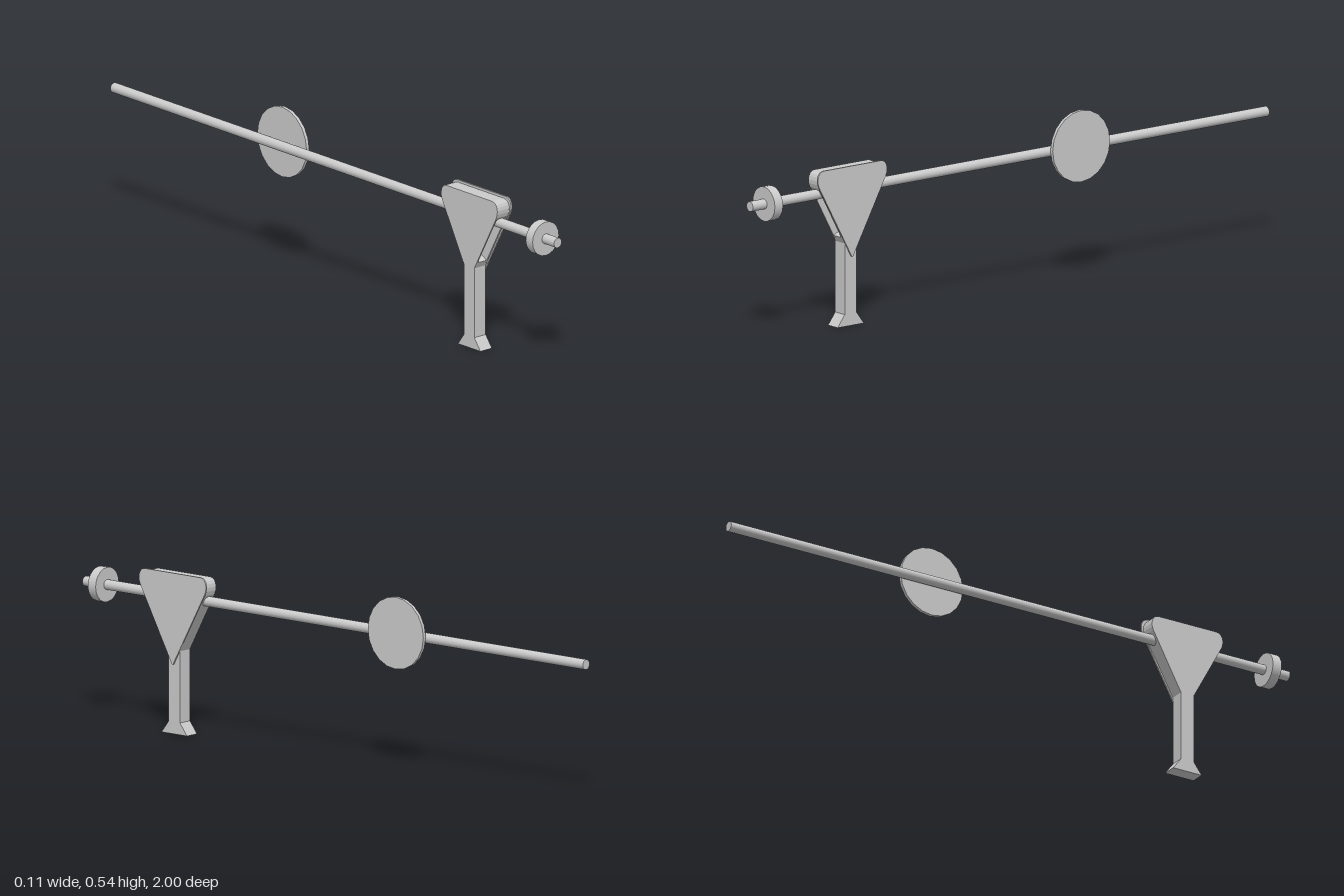
import * as THREE from 'three';

const material = new THREE.MeshStandardMaterial({ color: 0xcccccc });
const MID = 0.627; // z of the stand's centre line
const ROD_Y = 0.42;

function add(group, name, geometry) {
  const mesh = new THREE.Mesh(geometry, material);
  mesh.name = name;
  group.add(mesh);
  return mesh;
}

// Extrude a (z, y) side profile across x0..x1
function slab(shape, x0, x1) {
  const g = new THREE.ExtrudeGeometry(shape, { depth: x1 - x0, bevelEnabled: false, curveSegments: 6 });
  g.rotateY(-Math.PI / 2);
  g.translate(x1, 0, MID);
  return g;
}

// Triangular head with rounded upper corners, standing on a narrow base
function headTop(shape, halfWidth, top) {
  shape.lineTo(halfWidth - 0.006, top - 0.05);
  shape.bezierCurveTo(halfWidth + 0.005, top - 0.027, halfWidth - 0.003, top, halfWidth - 0.024, top);
  shape.lineTo(-halfWidth + 0.024, top);
  shape.bezierCurveTo(-halfWidth + 0.003, top, -halfWidth - 0.005, top - 0.027, -halfWidth + 0.006, top - 0.05);
}

// Y-shaped stand: flared foot, leg and head, optionally notched at the front
function standShape(notched) {
  const s = new THREE.Shape();
  s.moveTo(-0.051, 0);
  s.lineTo(0.051, 0);
  s.lineTo(0.023, 0.037);
  s.lineTo(0.023, 0.258);
  if (notched) {
    s.lineTo(0.033, 0.277);
    s.lineTo(-0.008, 0.299);
    s.lineTo(0.067, 0.451);
    s.lineTo(0.109, 0.427);
  }
  headTop(s, 0.128, 0.491);
  s.lineTo(-0.023, 0.258);
  s.lineTo(-0.023, 0.037);
  s.closePath();
  return s;
}

function plateShape(halfWidth, top, tipY, tipHalf) {
  const s = new THREE.Shape();
  s.moveTo(-tipHalf, tipY + 0.008);
  s.quadraticCurveTo(0, tipY - 0.008, tipHalf, tipY + 0.008);
  headTop(s, halfWidth, top);
  s.closePath();
  return s;
}

export function createModel() {
  const model = new THREE.Group();
  model.name = 'balanceArmBarrier';

  // Stand: two thin cheeks around a notched core
  const stand = new THREE.Group();
  stand.name = 'stand';
  model.add(stand);
  add(stand, 'rightCheek', slab(standShape(false), -0.024, -0.019));
  add(stand, 'core', slab(standShape(true), -0.019, 0.017));
  add(stand, 'leftCheek', slab(standShape(false), 0.017, 0.0225));

  // Cover plate on a slightly smaller spacer
  add(stand, 'plateSpacer', slab(plateShape(0.128, 0.489, 0.26, 0.02), 0.0225, 0.0255));
  add(stand, 'coverPlate', slab(plateShape(0.135, 0.497, 0.215, 0.006), 0.0255, 0.031));

  // Long arm
  const arm = add(model, 'arm', new THREE.CylinderGeometry(0.0157, 0.0157, 2, 20));
  arm.rotation.x = Math.PI / 2;
  arm.position.y = ROD_Y;

  // Counterweight near the front end
  const weight = add(model, 'counterweight', new THREE.CylinderGeometry(0.0535, 0.0535, 0.031, 20));
  weight.rotation.x = Math.PI / 2;
  weight.position.set(0, ROD_Y, 0.93);

  // Round sign on the arm's left side
  const sign = add(model, 'signDisc', new THREE.CylinderGeometry(0.111, 0.111, 0.011, 20));
  sign.rotation.z = Math.PI / 2;
  sign.position.set(0.022, 0.426, -0.262);

  return model;
}
